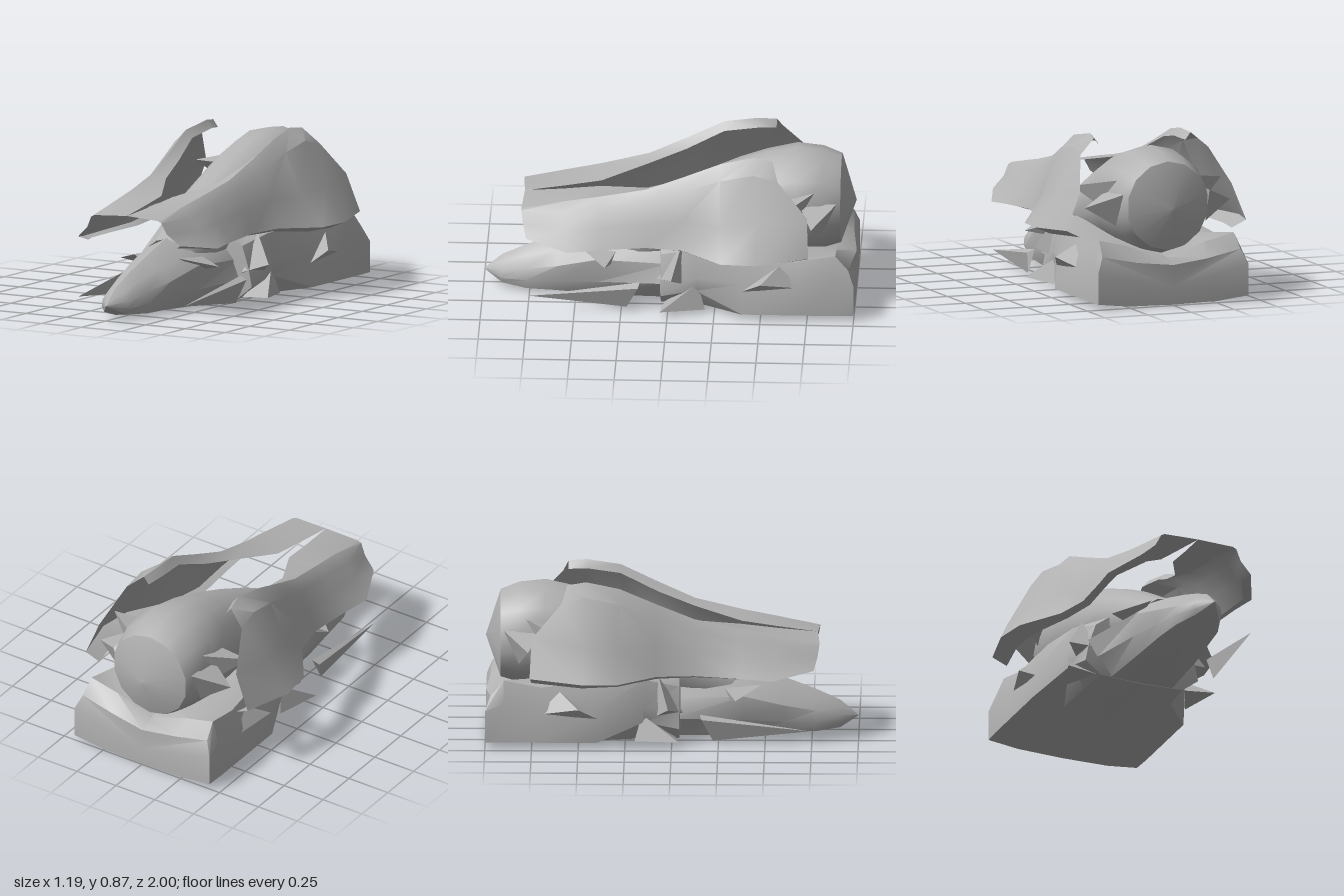
import * as THREE from 'three';
import { toCreasedNormals } from 'three/addons/utils/BufferGeometryUtils.js';

const grey = new THREE.MeshStandardMaterial({ color: 0xb2b2b2, side: THREE.DoubleSide });
grey.name = 'hull grey';

// Skin rows of points (ordered back to front); columns run top, +x side, bottom
function loft(name, rows, closed, flip = false) {
  const pos = [];
  const tri = (a, b, c) => {
    const [p, q, r] = flip ? [a, c, b] : [a, b, c];
    const u = q.clone().sub(p), v = r.clone().sub(p);
    if (u.cross(v).length() > 1e-7) for (const k of [p, q, r]) pos.push(k.x, k.y, k.z);
  };
  const pts = rows.map(r => r.map(p => new THREE.Vector3(...p)));
  const n = pts[0].length;
  for (let i = 0; i < pts.length - 1; i++) {
    for (let j = 0; j < (closed ? n : n - 1); j++) {
      const k = (j + 1) % n;
      const a = pts[i][j], b = pts[i][k], c = pts[i + 1][k], d = pts[i + 1][j];
      tri(a, d, c);
      tri(a, c, b);
    }
  }
  return finish(name, pos);
}

function finish(name, pos) {
  const g = new THREE.BufferGeometry();
  g.setAttribute('position', new THREE.Float32BufferAttribute(pos, 3));
  const mesh = new THREE.Mesh(toCreasedNormals(g, 0.6), grey);
  mesh.name = name;
  return mesh;
}

// Mirror a half section (top centre to bottom centre) into a closed ring
const ring = (half, z) => {
  const right = half.map(([x, y, dz = 0]) => [x, y, z + dz]);
  const left = right.slice(1, -1).reverse().map(([x, y, w]) => [-x, y, w]);
  return [...right, ...left];
};

// Close a loft with a flat row collapsed to one point
const cap = (row, x, y, z) => row.map(() => [x, y, z]);

// Triangular spike: three base corners and a tip
function spike(name, a, b, c, tip, side) {
  const m = p => [p[0] * side, p[1], p[2]];
  const faces = [[a, b, tip], [b, c, tip], [c, a, tip]];
  const pos = faces.flatMap(f => (side > 0 ? f : [f[0], f[2], f[1]]).flatMap(m));
  return finish(name, pos);
}

export function createModel() {
  const model = new THREE.Group();
  model.name = 'craft';

  // Rounded body with a shallow cone at the back: [z, half width, top, bottom]
  const bodyRows = [
    [-0.92, 0.235, 0.77, 0.29], [-0.82, 0.27, 0.81, 0.26], [-0.68, 0.285, 0.825, 0.24],
    [-0.52, 0.26, 0.79, 0.24], [-0.37, 0.24, 0.74, 0.22], [-0.1, 0.21, 0.62, 0.2],
    [0.1, 0.19, 0.52, 0.15], [0.38, 0.14, 0.36, 0.1],
  ].map(([z, w, top, bottom]) => Array.from({ length: 14 }, (_, k) => {
    const a = k / 14 * Math.PI * 2;
    return [w * Math.sin(a), (top + bottom) / 2 + (top - bottom) / 2 * Math.cos(a), z];
  }));
  model.add(loft('body', [cap(bodyRows[0], 0, 0.52, -1), ...bodyRows], true));

  // Broad flat base
  const baseRows = [
    ring([[0, 0.22], [0.2, 0.24, 0.02], [0.4, 0.28, 0.03], [0.435, 0.2], [0.435, 0.03], [0.26, 0.01], [0, 0.005]], -1),
    ring([[0, 0.25], [0.22, 0.32], [0.39, 0.36], [0.43, 0.24], [0.44, 0.03], [0.26, 0], [0, 0]], -0.9),
    ring([[0, 0.28], [0.24, 0.34], [0.38, 0.32], [0.43, 0.2], [0.44, 0.03], [0.26, 0], [0, 0]], -0.7),
    ring([[0, 0.32], [0.22, 0.36], [0.36, 0.35], [0.42, 0.2], [0.44, 0.03], [0.26, 0], [0, 0]], -0.4),
    ring([[0, 0.36], [0.2, 0.38], [0.32, 0.35], [0.35, 0.2], [0.34, 0.12], [0.25, 0.01], [0, 0]], -0.15),
    ring([[0, 0.36], [0.19, 0.36], [0.27, 0.3], [0.31, 0.18], [0.33, 0.08], [0.24, 0.01], [0, 0]], 0.04),
  ];
  model.add(loft('base', [cap(baseRows[0], 0, 0.1, -1), ...baseRows,
    cap(baseRows[0], 0, 0.15, 0.06)], true));

  // Pointed snout with a soft top ridge
  const snoutRows = [
    ring([[0, 0.38], [0.14, 0.32], [0.22, 0.22], [0.26, 0.12], [0.18, 0.01], [0, 0.005]], 0),
    ring([[0, 0.365], [0.13, 0.3], [0.2, 0.23], [0.2, 0.1], [0.16, 0.01], [0, 0.01]], 0.38),
    ring([[0, 0.29], [0.1, 0.24], [0.16, 0.17], [0.16, 0.08], [0.14, 0.02], [0, 0.01]], 0.6),
    ring([[0, 0.225], [0.07, 0.19], [0.115, 0.13], [0.13, 0.07], [0.12, 0.02], [0, 0.012]], 0.77),
    ring([[0, 0.165], [0.05, 0.14], [0.08, 0.1], [0.085, 0.06], [0.07, 0.03], [0, 0.02]], 0.9),
  ];
  model.add(loft('snout', [...snoutRows, cap(snoutRows[0], 0, 0.08, 1)], true));

  // Upper shell, one side: inner edge, ridge, shoulder, flank, lip, under lip
  const shell = [
    [[0.25, 0.82, -0.56], [0.28, 0.86, -0.56], [0.37, 0.78, -0.59], [0.44, 0.6, -0.75], [0.52, 0.4, -0.76], [0.44, 0.36, -0.75]],
    [[0.225, 0.83, -0.46], [0.26, 0.872, -0.46], [0.36, 0.81, -0.46], [0.47, 0.56, -0.48], [0.595, 0.385, -0.48], [0.5, 0.345, -0.48]],
    [[0.24, 0.8, -0.28], [0.28, 0.84, -0.28], [0.35, 0.77, -0.28], [0.45, 0.54, -0.28], [0.57, 0.38, -0.29], [0.48, 0.35, -0.29]],
    [[0.2, 0.71, -0.08], [0.26, 0.75, -0.08], [0.32, 0.69, -0.08], [0.37, 0.54, -0.08], [0.42, 0.39, -0.08], [0.38, 0.37, -0.08]],
    [[0.16, 0.64, 0.12], [0.24, 0.665, 0.12], [0.29, 0.61, 0.12], [0.33, 0.5, 0.12], [0.38, 0.385, 0.12], [0.34, 0.37, 0.12]],
    [[0.035, 0.59, 0.37], [0.22, 0.61, 0.37], [0.28, 0.56, 0.37], [0.32, 0.47, 0.37], [0.4, 0.375, 0.37], [0.36, 0.365, 0.37]],
    [[0.02, 0.565, 0.56], [0.21, 0.575, 0.56], [0.27, 0.53, 0.56], [0.32, 0.45, 0.56], [0.42, 0.365, 0.54], [0.37, 0.36, 0.54]],
    [[0, 0.54, 0.78], [0.2, 0.53, 0.79], [0.22, 0.52, 0.79], [0.25, 0.46, 0.78], [0.32, 0.4, 0.76], [0.28, 0.38, 0.72]],
  ];

  for (const s of [1, -1]) {
    const label = s > 0 ? 'left' : 'right';
    model.add(loft(label + 'Shell', shell.map(r => r.map(([x, y, z]) => [x * s, y, z])), false, s < 0));

    // Forward blade and side spikes
    model.add(spike(label + 'Blade', [0.33, 0.16, 0.15], [0.37, 0.14, 0.16], [0.34, 0.02, 0.22], [0.33, 0.07, 0.74], s));
    model.add(spike(label + 'CheekFin', [0.14, 0.28, 0.48], [0.17, 0.2, 0.3], [0.16, 0.27, 0.28], [0.31, 0.23, 0.34], s));
    model.add(spike(label + 'SideSpike', [0.4, 0.3, -0.6], [0.42, 0.18, -0.72], [0.43, 0.16, -0.4], [0.48, 0.22, -0.5], s));
    model.add(spike(label + 'FrontSpike', [0.3, 0.36, -0.07], [0.31, 0.14, -0.1], [0.28, 0.16, 0.06], [0.4, 0.2, -0.02], s));
    model.add(spike(label + 'LowerSpike', [0.33, 0.16, -0.16], [0.36, 0.02, -0.2], [0.26, 0.02, 0.02], [0.43, 0.03, 0.04], s));

    // Small fin beside the rear of the body
    model.add(spike(label + 'RearFin', [0.24, 0.66, -0.78], [0.26, 0.48, -0.72], [0.25, 0.62, -0.6], [0.43, 0.62, -0.62], s));
    model.add(spike(label + 'RearBracket', [0.25, 0.6, -0.9], [0.26, 0.42, -0.82], [0.26, 0.6, -0.7], [0.42, 0.52, -0.77], s));
  }
  // Settle the rounded numbers on the ground
  model.position.y -= new THREE.Box3().setFromObject(model).min.y;
  return model;
}
